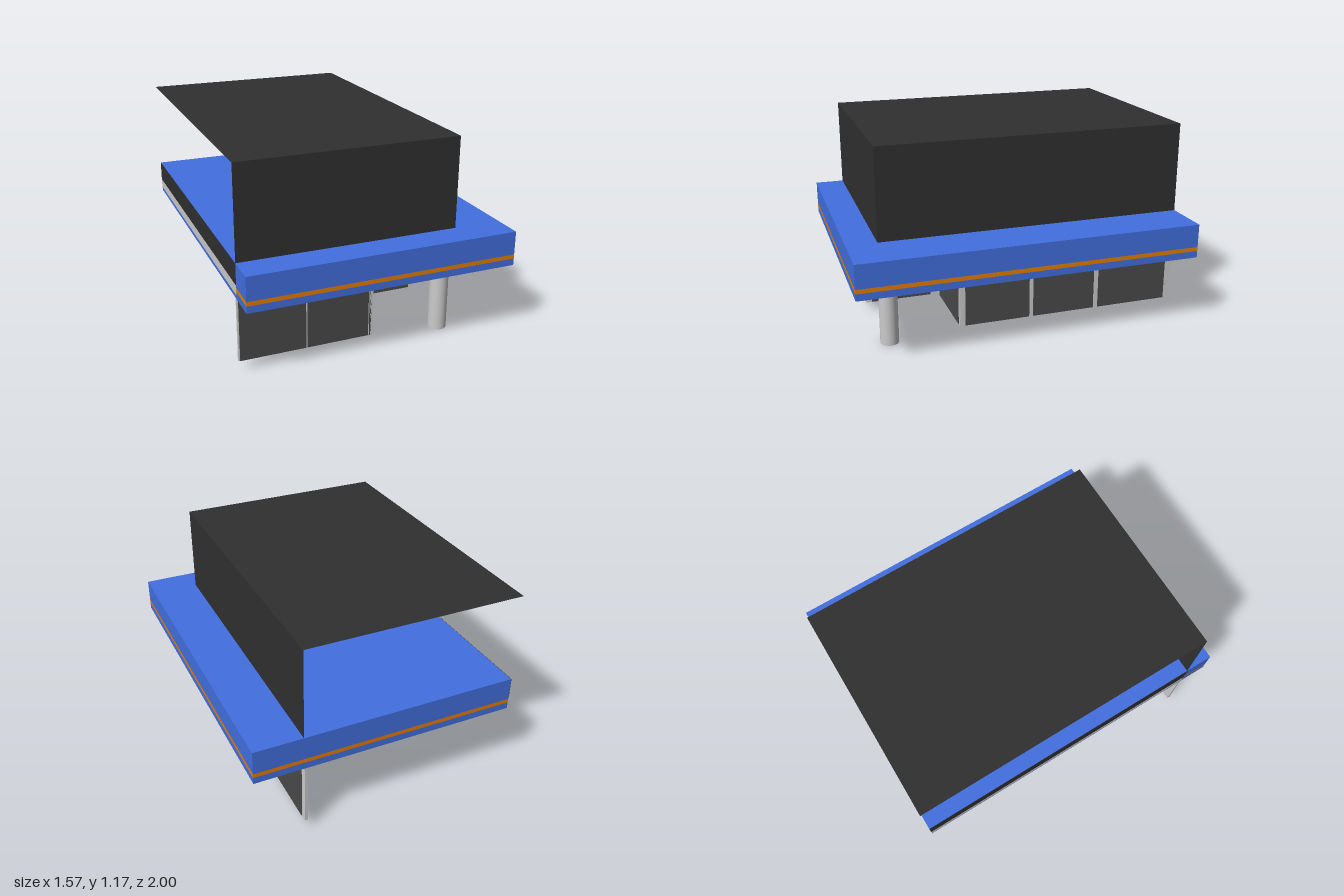
import * as THREE from 'three';

const mat = (color, side = THREE.FrontSide) =>
  new THREE.MeshStandardMaterial({ color, side, flatShading: true });

const BLUE = mat(0x4270e0);
const ORANGE = mat(0xe67e08);
const DARK = mat(0x303030, THREE.DoubleSide);
const GLASS = mat(0x4a4a4a);
const GREY = new THREE.MeshStandardMaterial({ color: 0xcccccc });

// Box given by its minimum and maximum corners
function box(name, material, [x0, y0, z0], [x1, y1, z1], parent) {
  const mesh = new THREE.Mesh(new THREE.BoxGeometry(x1 - x0, y1 - y0, z1 - z0), material);
  mesh.position.set((x0 + x1) / 2, (y0 + y1) / 2, (z0 + z1) / 2);
  mesh.name = name;
  parent.add(mesh);
  return mesh;
}

// Thin rectangle, turned to face +z by default
function sheet(name, w, h, position, rotation, parent) {
  const mesh = new THREE.Mesh(new THREE.PlaneGeometry(w, h), DARK);
  mesh.position.set(...position);
  mesh.rotation.set(...rotation);
  mesh.name = name;
  parent.add(mesh);
}

// Shopfront wall: grey frame of given length along local x, outer face at
// local z = 0, with glass panes given as [start, end, top]
const FLOOR = 0.06, CEILING = 0.43, THICK = 0.02;
function shopWall(name, length, panes, position, turn, parent) {
  const wall = new THREE.Group();
  wall.name = name;
  box('frame', GREY, [0, FLOOR, -THICK], [length, CEILING, -0.003], wall);
  for (const [a, b, top] of panes) box('pane', GLASS, [a, FLOOR, -0.004], [b, top, 0], wall);
  wall.position.set(...position);
  wall.rotation.y = turn;
  parent.add(wall);
}

export function createModel() {
  const model = new THREE.Group();
  model.name = 'cornerShop';
  const L = -0.785, R = 0.785, WALL = 0.5, FRONT = 0.825;

  // Canopy with a coloured stripe running round it
  const canopy = new THREE.Group();
  canopy.name = 'canopy';
  model.add(canopy);
  box('canopyLower', BLUE, [L, 0.43, -1], [R, 0.47, 1], canopy);
  box('canopyStripe', ORANGE, [L, 0.47, -1], [R, 0.495, 1], canopy);
  box('canopyUpper', BLUE, [L, 0.495, -1], [R, 0.633, 1], canopy);

  // Bands on the side that adjoins the neighbouring building
  box('partyBandUpper', DARK, [L - 0.002, 0.51, -1], [L, 0.633, FRONT], canopy);
  box('partyBandLower', GREY, [L - 0.002, 0.455, -1], [L, 0.51, FRONT], canopy);

  // Upper storey: a shell of roof, front and one side, open at back and left
  const upper = new THREE.Group();
  upper.name = 'upperStorey';
  model.add(upper);
  const y0 = 0.633, y1 = 1.17, h = y1 - y0, w = WALL - L, d = FRONT + 1;
  sheet('upperFront', w, h, [(L + WALL) / 2, y0 + h / 2, FRONT], [0, 0, 0], upper);
  sheet('upperSide', d, h, [WALL, y0 + h / 2, (FRONT - 1) / 2], [0, Math.PI / 2, 0], upper);
  sheet('roof', w, d, [(L + WALL) / 2, y1, (FRONT - 1) / 2], [-Math.PI / 2, 0, 0], upper);

  // Ground floor: stepped line of shopfronts around the recessed entrance
  const recess = 0.365;
  shopWall('frontWall', -L, [[0.008, 0.385, 0.425], [0.393, 0.757, 0.425], [0.763, 0.775, 0.425]],
    [L, 0, FRONT], 0, model);
  shopWall('entranceSide', FRONT - recess, [[0.035, FRONT - 0.415, 0.4]],
    [0, 0, FRONT], Math.PI / 2, model);
  shopWall('entranceBack', WALL, [[0.035, 0.465, 0.4]], [0, 0, recess], 0, model);
  shopWall('sideWall', recess + 1, [[0.035, 0.43, 0.425], [0.455, 0.845, 0.425], [0.875, 1.325, 0.425]],
    [WALL, 0, recess], Math.PI / 2, model);

  // Round corner column
  const column = new THREE.Mesh(new THREE.CylinderGeometry(0.054, 0.054, 0.43, 32), GREY);
  column.name = 'cornerColumn';
  column.position.set(0.445, 0.215, 0.77);
  model.add(column);

  return model;
}
